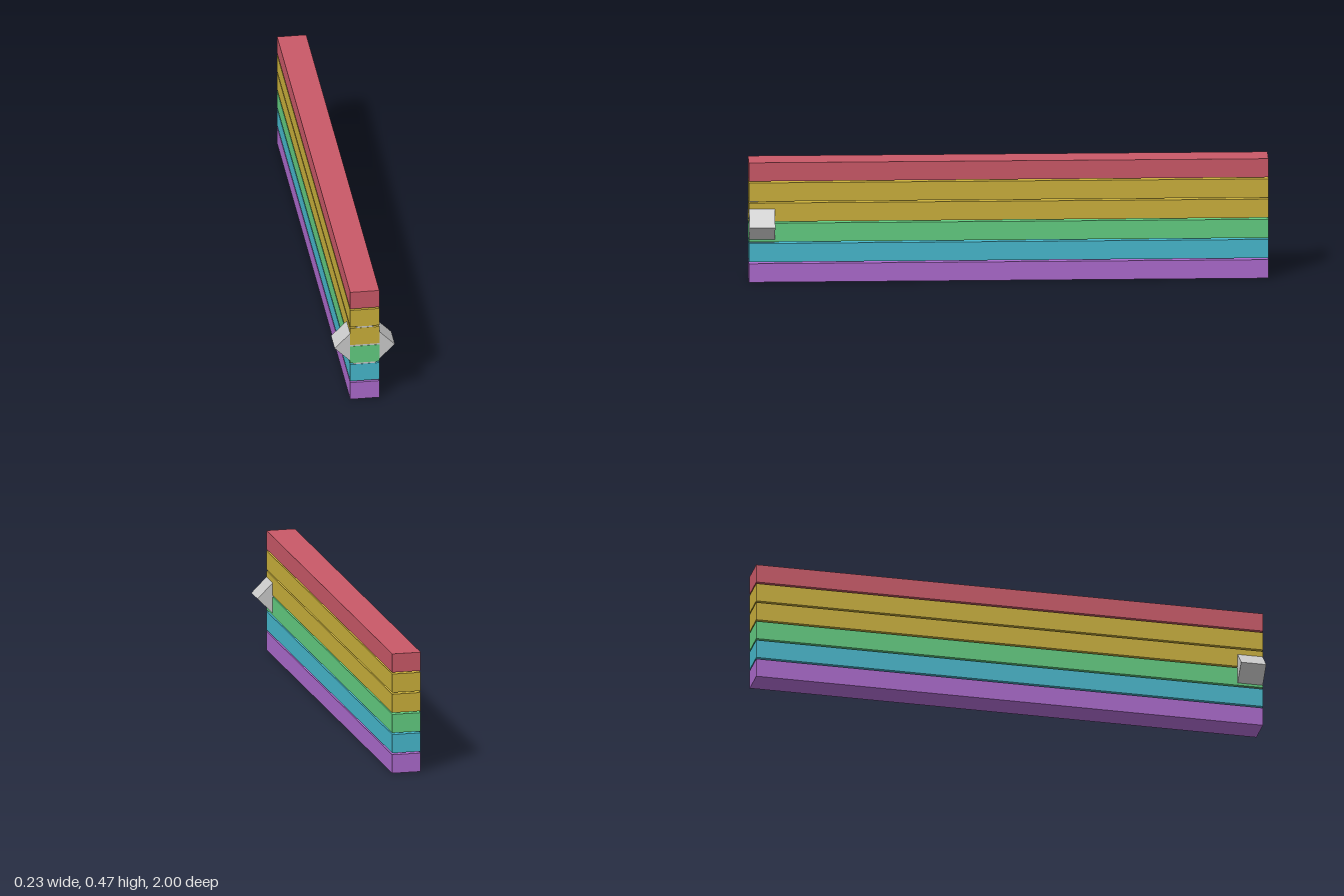
import * as THREE from 'three';

const material = (name, color) => {
  const m = new THREE.MeshStandardMaterial({ color });
  m.name = name;
  return m;
};

function box(name, w, h, d, mat) {
  const mesh = new THREE.Mesh(new THREE.BoxGeometry(w, h, d), mat);
  mesh.name = name;
  return mesh;
}

export function createModel() {
  const model = new THREE.Group();
  model.name = 'stackedBeams';

  const purple = material('purple', 0xab69cc);
  const cyan = material('cyan', 0x46b7cc);
  const green = material('green', 0x62cc80);
  const yellow = material('yellow', 0xc9af3a);
  const red = material('red', 0xc95867);
  const grey = material('light grey', 0xcacaca);

  // Six long beams stacked with narrow gaps, bottom to top
  const height = 0.0735, pitch = 0.08;
  [purple, cyan, green, yellow, yellow, red].forEach((mat, i) => {
    const beam = box(`beam${i + 1}`, 0.113, height, 2, mat);
    beam.position.y = height / 2 + i * pitch;
    model.add(beam);
  });

  // Square block turned on its corner, set through the front end;
  // held a hair behind the beam ends so the faces do not clash
  const side = 0.117 * Math.SQRT2;
  const block = box('diamondBlock', side, side, 0.099, grey);
  block.rotation.z = Math.PI / 4;
  block.position.set(0, 0.23, 0.9495);
  model.add(block);

  return model;
}
